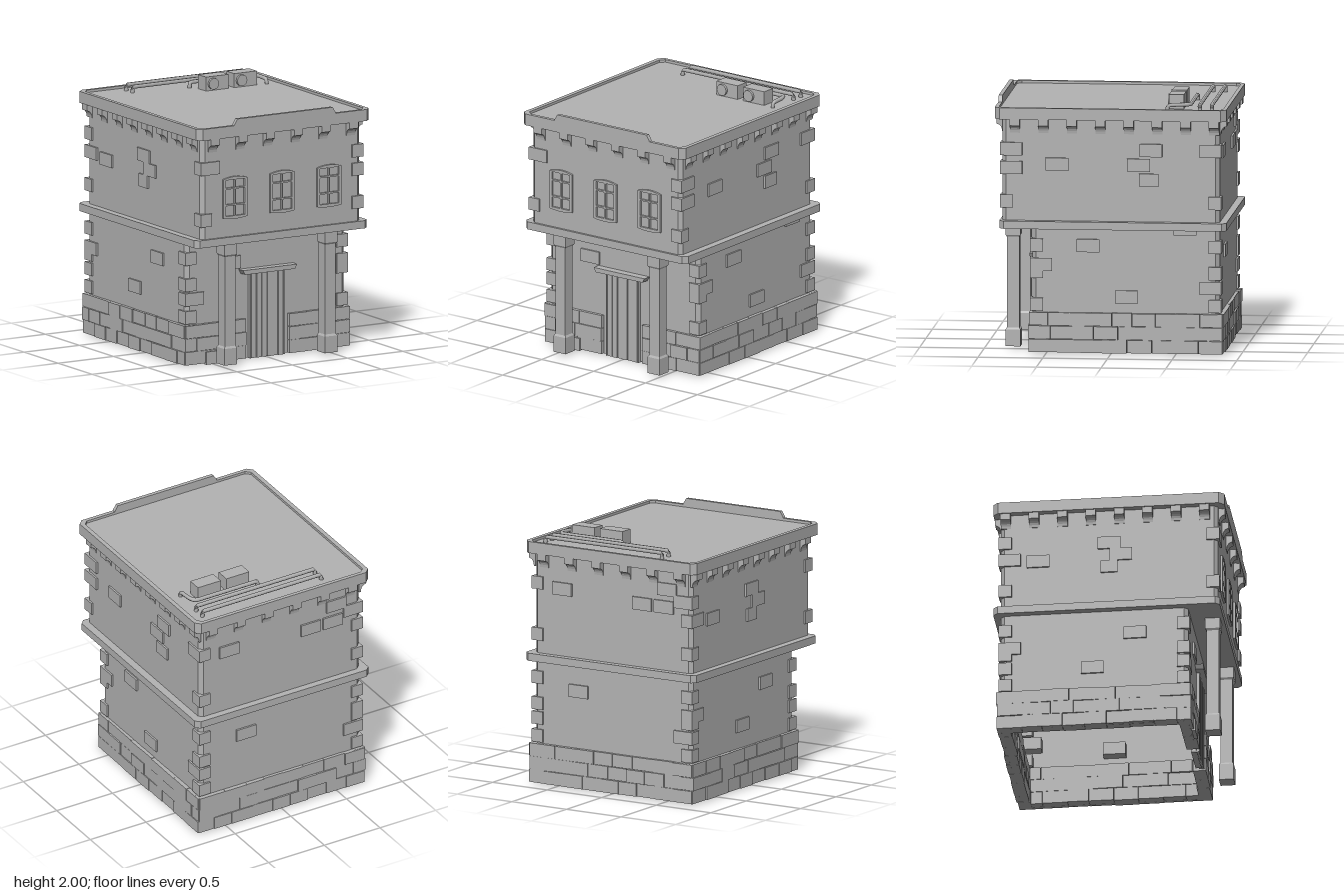
import * as THREE from 'three';

const stone = new THREE.MeshStandardMaterial({ color: 0xb3b3b3, side: THREE.DoubleSide });
stone.name = 'grey stone';

// small seeded generator for brick variation
let seed = 11;
const rand = () => (seed = (seed * 16807) % 2147483647) / 2147483647;

function add(parent, name, geometry, x = 0, y = 0, z = 0) {
  const mesh = new THREE.Mesh(geometry, stone);
  mesh.name = name;
  mesh.position.set(x, y, z);
  parent.add(mesh);
  return mesh;
}

function group(parent, name) {
  const g = new THREE.Group();
  g.name = name;
  parent.add(g);
  return g;
}

const box = (w, h, d) => new THREE.BoxGeometry(w, h, d);

// plan outline with cut corners
function outline(x, z0, z1, c) {
  return [[-x + c, -z1], [x - c, -z1], [x, -z1 + c], [x, -z0 - c], [x - c, -z0],
    [-x + c, -z0], [-x, -z0 - c], [-x, -z1 + c]].map(p => new THREE.Vector2(...p));
}

// horizontal slab, optionally with an inner opening
function slab(outer, y0, y1, inner) {
  const shape = new THREE.Shape(outer);
  if (inner) shape.holes.push(new THREE.Path(inner));
  return new THREE.ExtrudeGeometry(shape, { depth: y1 - y0, bevelEnabled: false })
    .rotateX(-Math.PI / 2).translate(0, y0, 0);
}

// open wall shell following a plan outline
function shell(points, y0, y1) {
  const pos = [];
  points.forEach((a, i) => {
    const b = points[(i + 1) % points.length];
    const q = [[a.x, y0, -a.y], [b.x, y0, -b.y], [b.x, y1, -b.y], [a.x, y1, -a.y]];
    for (const k of [0, 1, 2, 0, 2, 3]) pos.push(...q[k]);
  });
  const g = new THREE.BufferGeometry();
  g.setAttribute('position', new THREE.Float32BufferAttribute(pos, 3));
  g.computeVertexNormals();
  return g;
}

// a brick set into a wall; u runs along the wall
function brick(parent, side, u, y, w = 0.175, h = 0.1, out = 0.015) {
  const depth = 0.1;
  const wall = { front: 0.84, porch: 0.61, back: -0.84, right: 0.72, left: -0.72 }[side];
  const n = wall + Math.sign(wall) * (out - depth / 2);
  if (side === 'right' || side === 'left') add(parent, 'brick', box(depth, h, w), n, y, u);
  else add(parent, 'brick', box(w, h, depth), u, y, n);
}

function buildWalls(model) {
  add(model, 'upperWall', shell(outline(0.72, -0.84, 0.84, 0.03), 1.02, 1.84));
  add(model, 'lowerWall', shell(outline(0.72, -0.84, 0.61, 0.03), 0.01, 0.98));
  add(model, 'floorLedge', slab(outline(0.78, -0.895, 0.86, 0.035), 0.97, 1.03));

  // scattered bricks
  const bricks = group(model, 'wallBricks');
  const spots = {
    right: [[0.415, 1.47], [-0.31, 1.585], [-0.215, 1.47], [-0.295, 1.355, 0.15],
      [0.175, 0.84], [-0.12, 0.445], [-0.575, 0.98]],
    left: [[0, 1.55], [0.09, 1.45], [0, 1.35, 0.13], [-0.55, 1.42], [-0.13, 0.5], [0.2, 0.78]],
    back: [[-0.27, 1.53], [-0.47, 1.53], [0.46, 1.56], [0.31, 0.77], [-0.5, 1.67]],
    porch: [[-0.32, 0.77]]
  };
  for (const side in spots) for (const s of spots[side]) brick(bricks, side, ...s);

  // corner bricks, alternately long on one face and the other
  const corners = group(model, 'cornerBricks');
  const levels = [[0.38, 0], [0.52, 1], [0.635, 0], [0.69, 2], [0.84, 0], [1.18, 0], [1.44, 2], [1.585, 1]];
  for (const sx of [-1, 1]) for (const sz of [-1, 1]) {
    for (const [y, kind] of levels) {
      if (kind === 2 && sx !== sz) continue;
      if (kind === 1 && sx === 1 && sz === 1 && y < 1) continue;
      const zw = sz < 0 ? -0.84 : (y < 1 ? 0.61 : 0.84);
      const long = kind === 1 ? 0.17 : 0.1;
      const alongZ = (sx > 0 && kind > 0) || kind === 2;
      const w = alongZ ? 0.1 : long, d = alongZ ? 0.17 : 0.1;
      add(corners, 'cornerBrick', box(w, 0.1, d),
        sx * (0.735 - w / 2), y, zw + sz * (0.015 - d / 2));
    }
  }
}

// three courses of rough bricks round the foot
function buildPlinth(model) {
  const plinth = group(model, 'plinth');
  const run = (side, a, b, row) => {
    let u = a, first = true;
    while (u < b - 0.01) {
      let w = first && row % 2 ? 0.1 : 0.155 + rand() * 0.04;
      if (b - u - w < 0.07) w = b - u;
      brick(plinth, side, u + w / 2, 0.061 + row * 0.104, w - 0.002,
        0.104 - rand() * 0.006, 0.022 + rand() * 0.014);
      u += w;
      first = false;
    }
  };
  for (let row = 0; row < 3; row++) {
    run('porch', -0.742, -0.195, row);
    run('porch', 0.195, 0.742, row);
    run('back', -0.742, 0.742, row);
    run('right', -0.865, 0.632, row);
    run('left', -0.865, 0.632, row);
  }
  add(plinth, 'footStone', box(0.16, 0.1, 0.03), -0.48, 0.05, 0.635);
}

function buildCornice(model) {
  const outer = outline(0.78, -0.895, 0.895, 0.04);
  add(model, 'corniceRim', slab(outer, 1.82, 1.91, outline(0.745, -0.865, 0.865, 0.035)));
  add(model, 'roof', slab(outline(0.75, -0.87, 0.87, 0.035), 1.822, 1.89));

  // raised front parapet
  const p = new THREE.Shape([[-0.465, 1.89], [0.465, 1.89], [0.455, 1.92], [0.43, 1.96],
    [-0.43, 1.96], [-0.455, 1.92]].map(a => new THREE.Vector2(...a)));
  add(model, 'parapet', new THREE.ExtrudeGeometry(p, { depth: 0.03, bevelEnabled: false }), 0, 0, 0.865);

  // corbels with a hollowed underside
  const profile = new THREE.Shape();
  profile.moveTo(-0.01, 1.825);
  profile.lineTo(-0.01, 1.71);
  profile.lineTo(0.005, 1.71);
  profile.quadraticCurveTo(0.008, 1.765, 0.05, 1.77);
  profile.lineTo(0.05, 1.825);
  const geo = new THREE.ExtrudeGeometry(profile, { depth: 0.078, bevelEnabled: false, curveSegments: 5 })
    .translate(0, 0, -0.039);
  const corbels = group(model, 'corbels');
  for (let i = 0; i < 6; i++) {
    const x = (i - 2.5) * 0.25;
    add(corbels, 'frontCorbel', geo, x, 0, 0.84).rotation.y = -Math.PI / 2;
    add(corbels, 'backCorbel', geo, x, 0, -0.84).rotation.y = Math.PI / 2;
  }
  for (let i = 0; i < 8; i++) {
    const z = -0.03 + (i - 3.5) * 0.22;
    add(corbels, 'rightCorbel', geo, 0.72, 0, z);
    add(corbels, 'leftCorbel', geo, -0.72, 0, z).rotation.y = Math.PI;
  }
}

// gently arched window with six panes
function buildWindows(model) {
  const s = new THREE.Shape();
  s.moveTo(-0.108, 1.18);
  s.quadraticCurveTo(0, 1.16, 0.108, 1.18);
  s.lineTo(0.108, 1.485);
  s.quadraticCurveTo(0, 1.52, -0.108, 1.485);
  for (const [x0, x1] of [[-0.085, -0.006], [0.006, 0.085]]) {
    for (const [y0, y1] of [[1.195, 1.275], [1.287, 1.405], [1.417, 1.478]]) {
      s.holes.push(new THREE.Path([[x0, y0], [x0, y1], [x1, y1], [x1, y0]].map(a => new THREE.Vector2(...a))));
    }
  }
  const geo = new THREE.ExtrudeGeometry(s, { depth: 0.025, bevelEnabled: false, curveSegments: 6 });
  for (const x of [-0.425, 0, 0.425]) add(model, 'windowFrame', geo, x, 0, 0.832);
}

function buildPorch(model) {
  // plank door and its lintel
  const door = group(model, 'door');
  add(door, 'doorBack', box(0.3, 0.66, 0.05), 0, 0.34, 0.593);
  for (let i = 0; i < 6; i++)
    add(door, 'doorPlank', box(0.043, 0.665, 0.02), (i - 2.5) * 0.0485, 0.3375, 0.62 + (i % 2) * 0.004);
  for (const s of [-1, 1]) add(door, 'doorJamb', box(0.012, 0.67, 0.04), s * 0.152, 0.34, 0.615);
  const l = new THREE.Shape([[-0.225, 0.675], [0.225, 0.675], [0.245, 0.71], [-0.245, 0.71]]
    .map(a => new THREE.Vector2(...a)));
  add(door, 'doorLintel', new THREE.ExtrudeGeometry(l, { depth: 0.075, bevelEnabled: false }), 0, 0, 0.6);

  // square pillars: radius is half the diagonal
  const square = (w0, w1, h) => new THREE.CylinderGeometry(w1 * Math.SQRT1_2, w0 * Math.SQRT1_2, h, 4, 1)
    .toNonIndexed().rotateY(Math.PI / 4);
  const part = [['pillarBase', 0.115, 0.115, 0.02, 0.15], ['pillarBaseSlope', 0.115, 0.095, 0.15, 0.165],
    ['pillarShaft', 0.095, 0.095, 0.165, 0.87], ['pillarCapitalSlope', 0.095, 0.115, 0.87, 0.885],
    ['pillarCapital', 0.115, 0.115, 0.885, 0.975]];
  for (const s of [-1, 1]) {
    const pillar = group(model, 'pillar');
    pillar.position.set(s * 0.453, 0, 0.777);
    for (const [name, w0, w1, y0, y1] of part) {
      const g = square(w0, w1, y1 - y0);
      g.computeVertexNormals();
      add(pillar, name, g, 0, (y0 + y1) / 2, 0);
    }
  }
}

function buildRoofGear(model) {
  // cooling units with a round fan on the front
  for (const x of [0.205, 0.46]) {
    const unit = group(model, 'roofUnit');
    add(unit, 'unitBox', box(0.205, 0.11, 0.115), x, 1.945, -0.492);
    add(unit, 'unitFan', new THREE.CylinderGeometry(0.045, 0.045, 0.02, 12).rotateX(Math.PI / 2),
      x - 0.04, 1.943, -0.425);
  }
  // pipes dipping into the roof
  const pipe = pts => add(model, 'roofPipe', new THREE.TubeGeometry(
    new THREE.CatmullRomCurve3(pts.map(p => new THREE.Vector3(...p)), false, 'catmullrom', 0.15), 48, 0.016, 6));
  for (const z of [-0.775, -0.682])
    pipe([[-0.41, 1.88, z], [-0.405, 1.92, z], [-0.385, 1.935, z], [0.635, 1.935, z], [0.655, 1.92, z], [0.66, 1.88, z]]);
  pipe([[0.06, 1.88, -0.608], [0.065, 1.92, -0.608], [0.085, 1.935, -0.608], [0.59, 1.935, -0.608],
    [0.63, 1.935, -0.59], [0.645, 1.935, -0.55], [0.648, 1.93, -0.45], [0.648, 1.915, -0.432], [0.648, 1.88, -0.43]]);
}

export function createModel() {
  seed = 11;
  const model = new THREE.Group();
  model.name = 'townBuilding';
  buildWalls(model);
  buildPlinth(model);
  buildCornice(model);
  buildWindows(model);
  buildPorch(model);
  buildRoofGear(model);
  return model;
}
